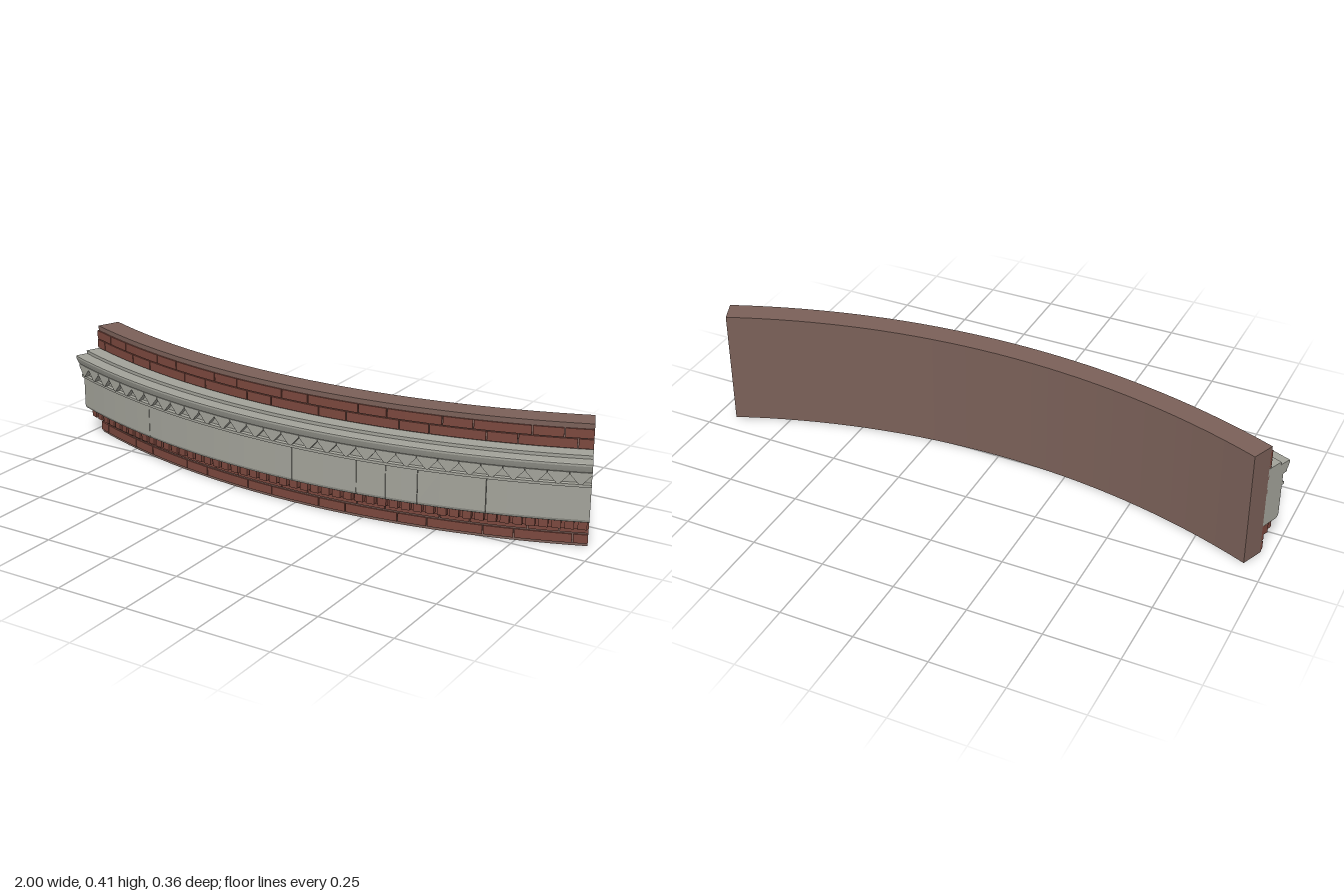
import * as THREE from 'three';
import { mergeGeometries } from 'three/addons/utils/BufferGeometryUtils.js';

const CENTRE = 2.432;            // distance from the arc's centre to z = 0
const HALF = Math.PI / 8;        // half of the swept angle

// Sweeps a [depth, height] profile along the arc from angle a0 to a1
function sweep(profile, a0 = -HALF, a1 = HALF, steps = 32) {
  const shape = new THREE.Shape(profile.map(([u, y]) => new THREE.Vector2(u, y)));
  const geo = new THREE.ExtrudeGeometry(shape, { depth: 1, steps, bevelEnabled: false });
  const p = geo.attributes.position;
  for (let i = 0; i < p.count; i++) {
    const a = a1 - (a1 - a0) * p.getZ(i);
    const r = CENTRE + p.getX(i);
    p.setXYZ(i, r * Math.sin(a), p.getY(i), r * Math.cos(a) - CENTRE);
  }
  geo.computeVertexNormals();
  return geo;
}

const rect = (u0, u1, y0, y1) => [[u0, y0], [u1, y0], [u1, y1], [u0, y1]];

export function createModel() {
  const group = new THREE.Group();
  const material = (name, color) => {
    const m = new THREE.MeshStandardMaterial({ color });
    m.name = name;
    return m;
  };
  const wallMat = material('mortar brown', 0x7a6058);
  const brickMat = material('brick red', 0x7a473d);
  const stoneMat = material('grey stone', 0xa2a299);

  const add = (name, geo, mat) => {
    const mesh = new THREE.Mesh(geo, mat);
    mesh.name = name;
    group.add(mesh);
  };

  // Curved backing wall
  add('wall', sweep(rect(0.003, 0.084, 0, 0.408)), wallMat);

  // Brick courses: alternating long and short bricks, staggered by row
  const period = (2 * HALF) / 7;
  const joint = 0.0007;
  [[0.01, 0.04], [0.046, 0.067], [0.327, 0.358], [0.361, 0.391]].forEach(([y0, y1], row) => {
    const bricks = [];
    let a = -HALF - period * (row % 2 ? 0.32 : 0.82);
    for (let i = 0; a < HALF; i++) {
      const next = a + period * (i % 2 ? 0.35 : 0.65);
      const from = Math.max(a + joint, -HALF);
      const to = Math.min(next - joint, HALF);
      if (to - from > 0.002) bricks.push(sweep(rect(0.08, 0.0895, y0, y1), from, to, 3));
      a = next;
    }
    add('brickCourse' + (row + 1), mergeGeometries(bricks), brickMat);
  });

  // Corbel course with projecting header bricks under the stone band
  add('corbelCourse', sweep(rect(0.08, 0.107, 0.067, 0.103)), brickMat);
  const dentils = [];
  const dentilCount = 50;
  const pitch = (2 * HALF) / dentilCount;
  for (let i = 0; i < dentilCount; i++) {
    const mid = -HALF + (i + 0.5) * pitch;
    dentils.push(sweep(rect(0.1, 0.128, 0.073, 0.101), mid - pitch * 0.36, mid + pitch * 0.36, 1));
  }
  add('brickDentils', mergeGeometries(dentils), brickMat);

  // Stone frieze, split into blocks by hairline joints
  const frieze = [[0.08, 0.104], [0.14, 0.104], [0.148, 0.108], [0.152, 0.117], [0.152, 0.23], [0.08, 0.23]];
  const cuts = [-0.6, 0.03, 0.265, 0.365, 0.47, 0.685].map((x) => Math.asin(x / 2.584));
  const ends = [-HALF, ...cuts, HALF];
  const blocks = [];
  for (let i = 0; i < ends.length - 1; i++) {
    const a0 = ends[i] + (i ? 0.0003 : 0);
    const a1 = ends[i + 1] - (i < ends.length - 2 ? 0.0003 : 0);
    blocks.push(sweep(frieze, a0, a1, Math.max(2, Math.round((a1 - a0) / 0.025))));
  }
  add('frieze', mergeGeometries(blocks), stoneMat);

  // Fillet below the teeth and the recessed band behind them
  add('toothBand', sweep([[0.08, 0.229], [0.162, 0.229], [0.162, 0.238], [0.153, 0.241],
    [0.153, 0.283], [0.08, 0.283]]), stoneMat);

  // Row of pointed teeth hanging under the cornice
  const toothCount = 30;
  const w = (2 * HALF * 2.59) / toothCount / 2;
  const outline = new THREE.Shape([[-w * 0.98, 0.28], [-w * 0.98, 0.272], [-0.004, 0.24],
    [0.004, 0.24], [w * 0.98, 0.272], [w * 0.98, 0.28]].map(([x, y]) => new THREE.Vector2(x, y)));
  const teeth = [];
  for (let i = 0; i < toothCount; i++) {
    const tooth = new THREE.ExtrudeGeometry(outline, { depth: 0.022, bevelEnabled: false });
    tooth.translate(0, 0, CENTRE + 0.148);
    tooth.rotateY(-HALF + ((i + 0.5) * 2 * HALF) / toothCount);
    tooth.translate(0, 0, -CENTRE);
    teeth.push(tooth);
  }
  add('corniceTeeth', mergeGeometries(teeth), stoneMat);

  // Moulded cornice with a set-back top step
  add('cornice', sweep([[0.08, 0.28], [0.168, 0.28], [0.172, 0.285], [0.176, 0.294], [0.18, 0.304],
    [0.18, 0.311], [0.177, 0.313], [0.137, 0.313], [0.137, 0.324], [0.08, 0.324]]), stoneMat);

  return group;
}
